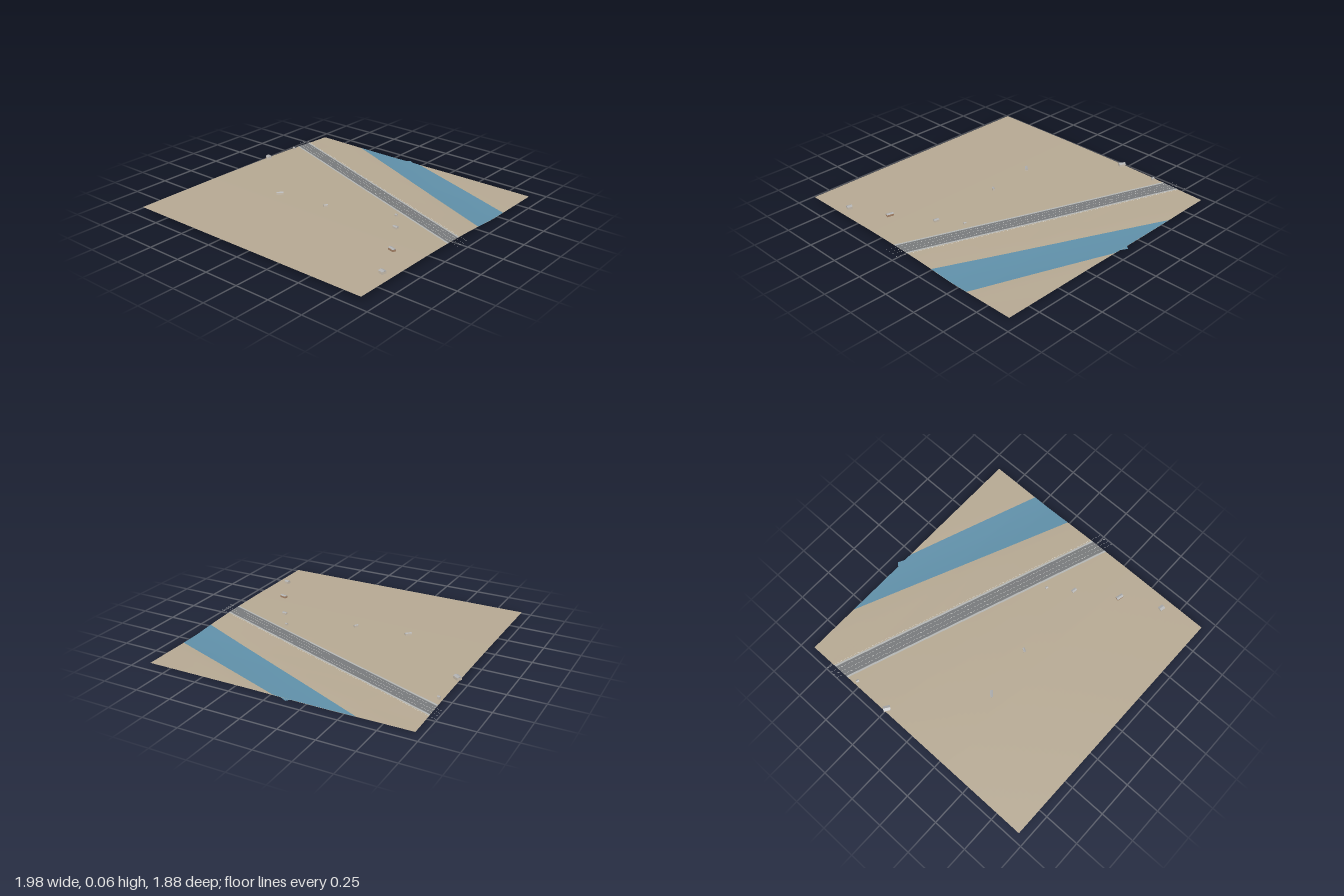
import * as THREE from 'three';
import { mergeGeometries } from 'three/addons/utils/BufferGeometryUtils.js';

const X0 = -0.95, X1 = 0.91, Z0 = -0.92, Z1 = 0.94;
const { lerp, clamp } = THREE.MathUtils;

// Land profiles [z, y] along the left and right borders, blended across x
const westProfile = [[-0.92, 0.007], [-0.8, 0.011], [-0.5, 0.024], [-0.2, 0.031], [0.1, 0.034], [0.3, 0.036]];
const eastProfile = [[-0.92, 0.006], [-0.6, 0.006], [-0.45, 0.01], [-0.3, 0.017], [-0.1, 0.027], [0.1, 0.033], [0.3, 0.036]];

function sample(profile, z) {
  if (z <= profile[0][0]) return profile[0][1];
  for (let i = 1; i < profile.length; i++) {
    const [za, ya] = profile[i - 1], [zb, yb] = profile[i];
    if (z <= zb) return lerp(ya, yb, (z - za) / (zb - za));
  }
  return profile[profile.length - 1][1];
}

function height(x, z) {
  const t = clamp((x - X0) / (X1 - X0), 0, 1);
  const w = Math.min(1, Math.abs(z - (-0.787 + 0.41 * x)) / 0.22);
  const channel = 0.004 * (1 - w * w) ** 2;
  return lerp(sample(westProfile, z), sample(eastProfile, z), t) - channel;
}

// A sheet draped on the land between two border lines z(x)
function drape(xa, xb, zFar, zNear, lift, nx, nz) {
  const g = new THREE.PlaneGeometry(1, 1, nx, nz).rotateX(-Math.PI / 2);
  const p = g.attributes.position;
  for (let i = 0; i < p.count; i++) {
    const x = lerp(xa, xb, p.getX(i) + 0.5);
    const z = lerp(zFar(x), zNear(x), p.getZ(i) + 0.5);
    p.setXYZ(i, x, height(x, z) + lift, z);
  }
  g.computeVertexNormals();
  return g;
}

const material = (color) => new THREE.MeshStandardMaterial({ color, side: THREE.DoubleSide });

function addMesh(parent, name, geometry, mat) {
  const mesh = new THREE.Mesh(geometry, mat);
  mesh.name = name;
  parent.add(mesh);
  return mesh;
}

export function createModel() {
  const model = new THREE.Group();
  model.name = 'riversideLandscape';
  const mats = {
    land: material(0xb5a892), water: material(0x5f8fa8), asphalt: material(0x77797b),
    paint: material(0xe4e4e0), shoulder: material(0xb4b6b4),
    wall: material(0xcbbfae), brick: material(0xa88468), roof: material(0xb0b0b0),
  };

  addMesh(model, 'land', drape(X0, X1, () => Z0, () => Z1, 0, 64, 64), mats.land);

  // River, with a small corner reaching past the back border
  const river = new THREE.Group();
  river.name = 'river';
  model.add(river);
  const farBank = (x) => Math.max(Z0, -0.912 + 0.376 * x);
  const nearBank = (x) => -0.663 + 0.443 * x;
  addMesh(river, 'water', drape(-0.58, X1, farBank, nearBank, 0.0015, 60, 16), mats.water);
  const corner = new THREE.Shape([[-0.14, 0.92], [-0.07, 0.92], [-0.12, 0.945]].map((c) => new THREE.Vector2(...c)));
  const cornerGeo = new THREE.ShapeGeometry(corner).rotateX(-Math.PI / 2);
  addMesh(river, 'waterCorner', cornerGeo, mats.water).position.y = 0.004;

  // Road with pale shoulders and dashed lane lines
  const road = new THREE.Group();
  road.name = 'road';
  model.add(road);
  const along = (offset) => (x) => -0.309 + 0.37 * x + offset;
  addMesh(road, 'asphalt', drape(X0, X1, along(-0.062), along(0.062), 0.0012, 64, 8), mats.asphalt);
  for (const side of [-1, 1]) {
    const o = side * 0.058;
    addMesh(road, side < 0 ? 'farShoulder' : 'nearShoulder',
      drape(X0, X1, along(o - 0.007), along(o + 0.007), 0.0016, 64, 1), mats.shoulder);
  }
  for (const offset of [-0.072, -0.03, 0, 0.03]) {
    const dashes = [];
    for (let x = -1; x < 0.99; x += 0.024) {
      dashes.push(drape(x, x + 0.014, along(offset - 0.001), along(offset + 0.001), 0.002, 1, 1));
    }
    addMesh(road, 'laneDashes', mergeGeometries(dashes), mats.paint);
  }

  // Houses: x, z, length, depth, total height, turn, wall kind
  const houses = [
    [-0.93, -0.245, 0.048, 0.036, 0.025, -0.6, 'wall'],
    [-0.925, -0.525, 0.02, 0.018, 0.021, -0.3, 'wall'],
    [-0.395, 0.2, 0.048, 0.019, 0.019, 0.8, 'wall'],
    [-0.02, 0.155, 0.03, 0.016, 0.018, 1.05, 'wall'],
    [0.425, -0.035, 0.018, 0.016, 0.015, -0.3, 'wall'],
    [0.535, 0.12, 0.036, 0.024, 0.017, -0.15, 'wall'],
    [0.705, 0.385, 0.05, 0.026, 0.02, -0.25, 'brick'],
    [0.835, 0.65, 0.036, 0.034, 0.023, -0.2, 'wall'],
  ];
  for (const [x, z, length, depth, tall, turn, kind] of houses) {
    const house = new THREE.Group();
    house.name = 'house';
    house.position.set(x, height(x, z) - 0.002, z);
    house.rotation.y = turn;
    const eaves = tall * 0.72 + 0.002;
    addMesh(house, 'walls', new THREE.BoxGeometry(length * 0.95, eaves, depth * 0.95).translate(0, eaves / 2, 0), mats[kind]);
    // Gable roof with its ridge along the length
    const gable = new THREE.Shape([
      new THREE.Vector2(-depth / 2, 0), new THREE.Vector2(depth / 2, 0), new THREE.Vector2(0, tall * 0.28),
    ]);
    const roof = new THREE.ExtrudeGeometry(gable, { depth: length, bevelEnabled: false })
      .translate(0, eaves, -length / 2).rotateY(Math.PI / 2);
    addMesh(house, 'roof', roof, mats.roof);
    model.add(house);
  }
  return model;
}
